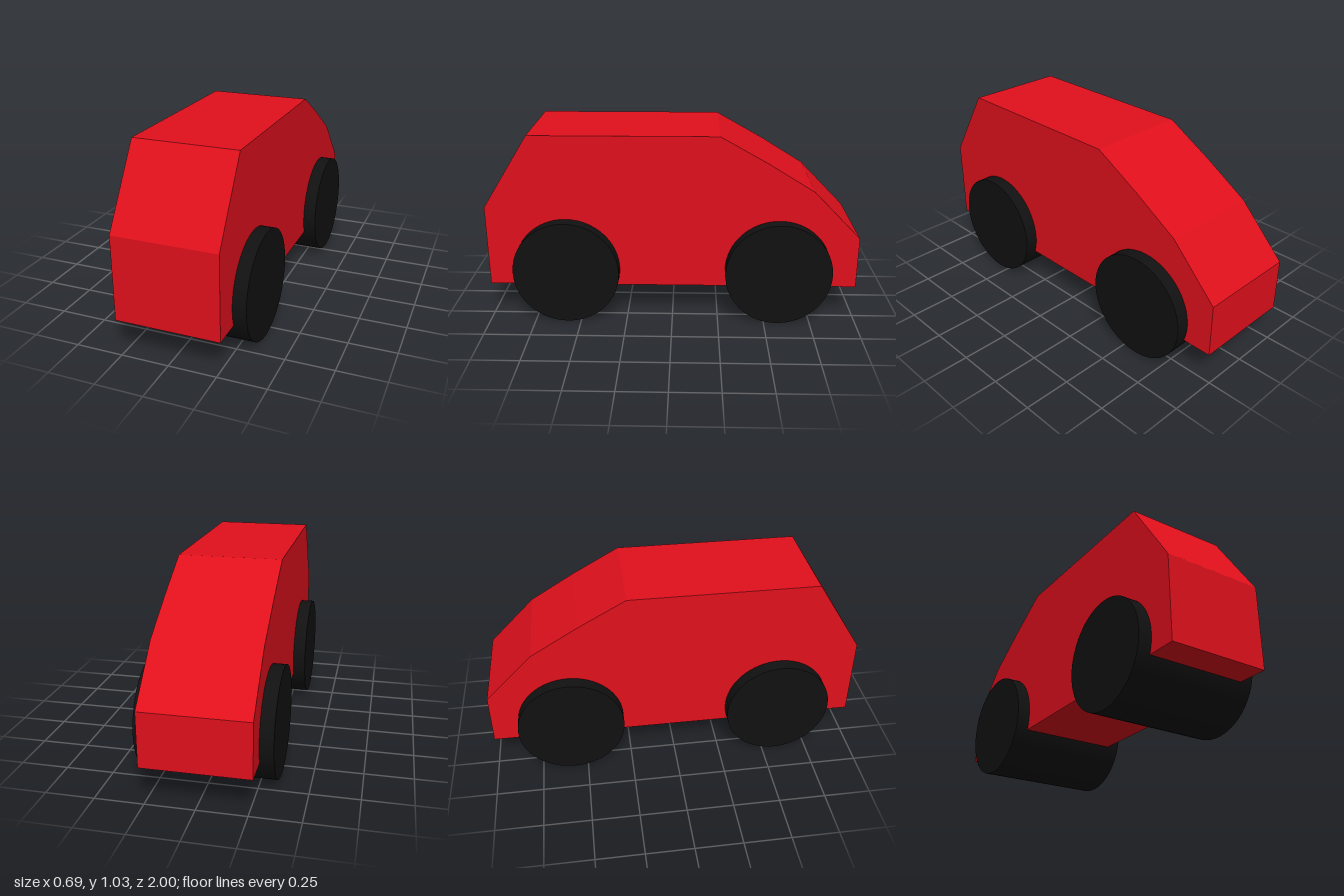
import * as THREE from 'three';

export function createModel() {
  const group = new THREE.Group();
  const red = new THREE.MeshStandardMaterial({ color: 0xe0101c });
  const black = new THREE.MeshStandardMaterial({ color: 0x111111 });

  // Body: side profile as (z, y), extruded across the width
  const width = 0.545;
  const profile = [
    [1, 0.19], [1, 0.635], [0.75, 1.03], [-0.245, 1.03],
    [-0.5, 0.886], [-0.745, 0.735], [-1, 0.475], [-1, 0.19],
  ];
  const shape = new THREE.Shape(profile.map(([z, y]) => new THREE.Vector2(z, y)));
  const bodyGeometry = new THREE.ExtrudeGeometry(shape, { depth: width, bevelEnabled: false });
  bodyGeometry.translate(0, 0, -width / 2).rotateY(-Math.PI / 2);
  const body = new THREE.Mesh(bodyGeometry, red);
  body.name = 'body';
  group.add(body);

  // Wheels: one full-width roller per axle
  const radius = 0.286;
  const wheelGeometry = new THREE.CylinderGeometry(radius, radius, 0.685, 64).rotateZ(Math.PI / 2);
  for (const [name, z] of [['frontWheels', 0.572], ['rearWheels', -0.572]]) {
    const wheels = new THREE.Mesh(wheelGeometry, black);
    wheels.name = name;
    wheels.position.set(0, radius, z);
    group.add(wheels);
  }
  return group;
}
